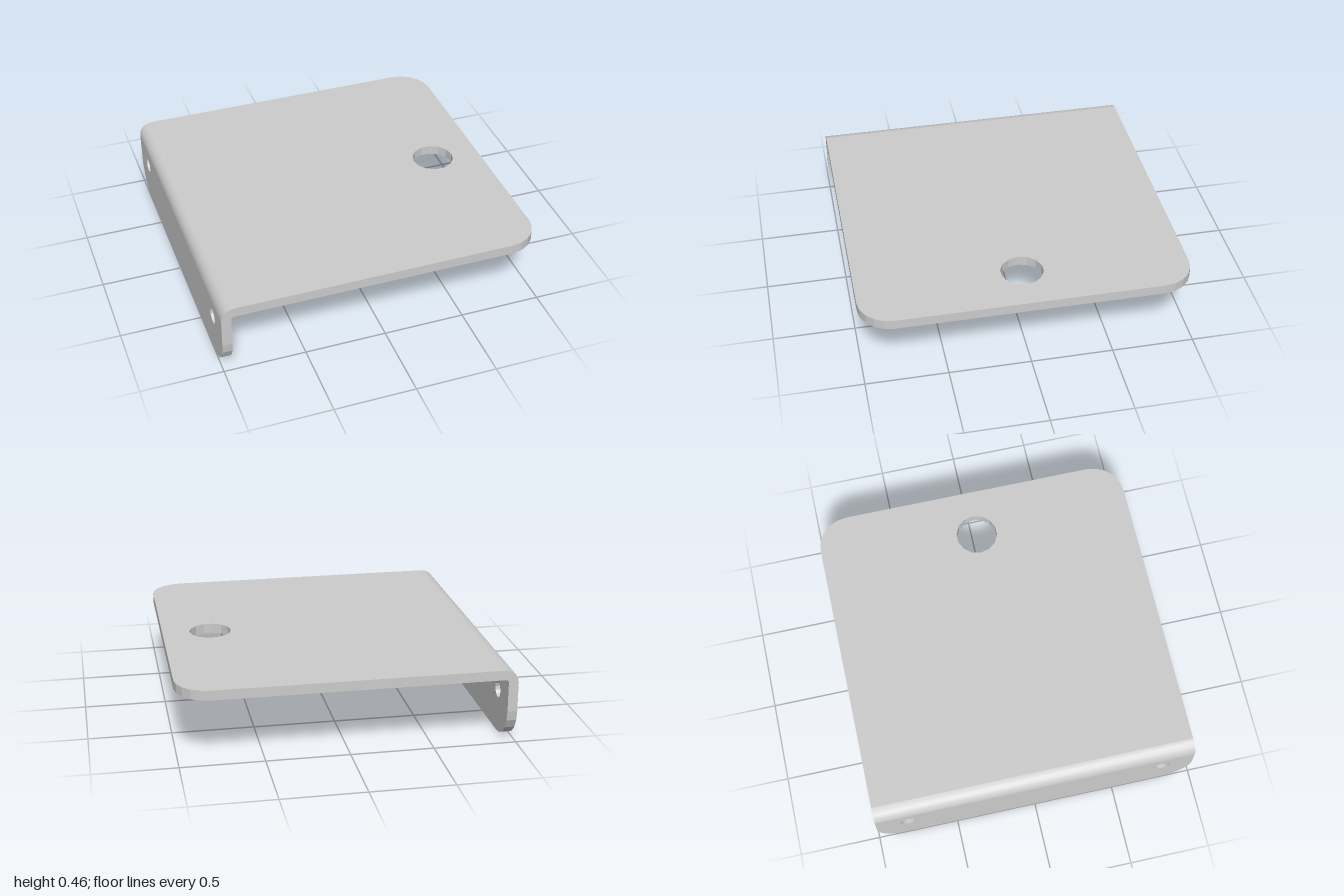
import * as THREE from 'three';
import { toCreasedNormals } from 'three/addons/utils/BufferGeometryUtils.js';

const T = 0.06;            // sheet thickness
const TOP = 0.46;          // height of the upper face
const R_OUT = 0.08;        // outer bend radius
const R_IN = R_OUT - T;    // inner bend radius
const CORNER = 0.2;        // radius of the rounded corners
const BEND_X = -1 + R_OUT, BEND_Y = TOP - R_OUT;

// points along an arc, angles in quarter turns
function arc(cx, cy, r, from, to, n) {
  return Array.from({ length: n + 1 }, (_, i) => {
    const a = (from + (to - from) * i / n) * Math.PI / 2;
    return new THREE.Vector2(cx + r * Math.cos(a), cy + r * Math.sin(a));
  });
}

const hole = (cx, cy, r, n) => new THREE.Path(arc(cx, cy, r, 4, 0, n).slice(0, -1));

function extrude(points, holes, depth) {
  const shape = new THREE.Shape(points);
  shape.holes.push(...holes);
  return new THREE.ExtrudeGeometry(shape, { depth, bevelEnabled: false });
}

export function createModel() {
  const group = new THREE.Group();
  const material = new THREE.MeshStandardMaterial({ color: 0xcccccc });
  const add = (name, geometry) => {
    const mesh = new THREE.Mesh(geometry, material);
    mesh.name = name;
    group.add(mesh);
  };

  // horizontal plate with two rounded corners and one large hole
  const inner = 1 - CORNER;
  const plate = extrude([
    new THREE.Vector2(BEND_X, -1),
    ...arc(inner, -inner, CORNER, -1, 0, 5),
    ...arc(inner, inner, CORNER, 0, 1, 5),
    new THREE.Vector2(BEND_X, 1),
  ], [hole(0.7, 0, 0.13, 14)], T);
  plate.rotateX(-Math.PI / 2).translate(0, TOP - T, 0);
  add('plate', plate);

  // vertical flange with rounded lower corners and two screw holes
  const flange = extrude([
    new THREE.Vector2(-1, BEND_Y),
    ...arc(-inner, CORNER, CORNER, 2, 3, 5),
    ...arc(inner, CORNER, CORNER, 3, 4, 5),
    new THREE.Vector2(1, BEND_Y),
  ], [-0.8, 0.8].map((z) => hole(z, 0.263, 0.05, 14)), T);
  flange.rotateY(Math.PI / 2).translate(-1, 0, 0);
  add('flange', flange);

  // smooth bend joining plate and flange
  const bend = extrude([
    ...arc(BEND_X, BEND_Y, R_OUT, 1, 2, 5),
    ...arc(BEND_X, BEND_Y, R_IN, 2, 1, 5),
  ], [], 2);
  bend.translate(0, 0, -1);
  add('bend', toCreasedNormals(bend, Math.PI / 5));

  return group;
}
